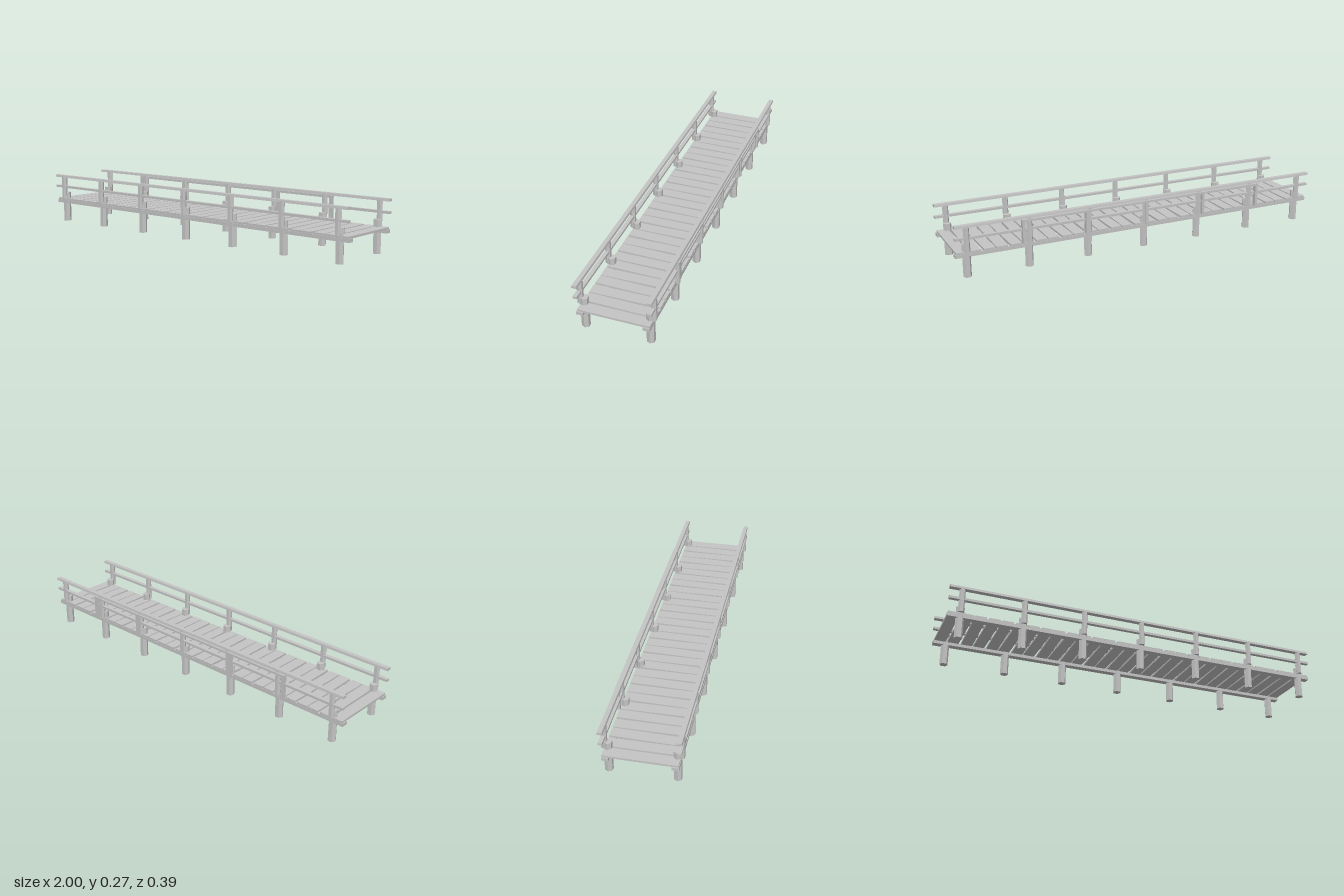
import * as THREE from 'three';

export function createModel() {
  const model = new THREE.Group();
  model.name = 'footbridge';
  const wood = new THREE.MeshStandardMaterial({ color: 0xc4c4c4, flatShading: true });
  wood.name = 'pale grey wood';

  function add(name, geometry, x, y, z) {
    const mesh = new THREE.Mesh(geometry, wood);
    mesh.name = name;
    mesh.position.set(x, y, z);
    model.add(mesh);
    return mesh;
  }

  // Six-sided post with flat faces towards front and back
  const hexPost = (r, h) => new THREE.CylinderGeometry(r, r, h, 6, 1, false, Math.PI / 6);

  // Handrail bar with its upper edges narrowed
  function handrailGeometry() {
    const g = new THREE.BoxGeometry(2, 0.013, 0.026);
    const p = g.attributes.position;
    for (let i = 0; i < p.count; i++) {
      if (p.getY(i) > 0) p.setZ(i, p.getZ(i) * 0.84);
    }
    g.computeVertexNormals();
    return g;
  }

  // Both sides: beam, rails, piles and railing posts
  const sides = [
    { label: 'front', beam: 0.164, rail: 0.182 },
    { label: 'back', beam: -0.158, rail: -0.175 },
  ];
  for (const { label, beam, rail } of sides) {
    add(label + 'Beam', new THREE.BoxGeometry(2, 0.017, 0.033), 0, 0.1125, beam);
    add(label + 'Handrail', handrailGeometry(), 0, 0.26, rail);
    add(label + 'MidRail', new THREE.BoxGeometry(2, 0.012, 0.02), 0, 0.2, rail);
    for (let i = 0; i < 7; i++) {
      const x = -0.936 + i * 0.313;
      add(label + 'Pile', hexPost(0.0208, 0.166), x, 0.083, beam);
      add(label + 'RailPost', hexPost(0.0152, 0.127), x, 0.1945, rail);
    }
  }

  // Extra frame fixed behind the back railing
  add('backFrameRail', new THREE.BoxGeometry(1.34, 0.011, 0.022), 0, 0.2455, -0.183);
  for (let i = -2; i <= 2; i++) {
    add('backFramePost', new THREE.BoxGeometry(0.014, 0.122, 0.022), i * 0.331, 0.189, -0.183);
  }

  // Deck planks, each laid slightly askew
  let seed = 7;
  const random = () => {
    seed = (seed * 16807) % 2147483647;
    return seed / 2147483647;
  };
  const count = 30, step = 2 / count;
  for (let i = 0; i < count; i++) {
    const x = -1 + step * (i + 0.5);
    const end = i === 0 || i === count - 1;
    const plank = add('deckPlank', new THREE.BoxGeometry(0.057, 0.011, 0.352), x, 0.1255, 0.002);
    plank.rotation.y = end ? 0 : (i % 2 ? 1 : -1) * (0.005 + 0.014 * random());
  }
  return model;
}
